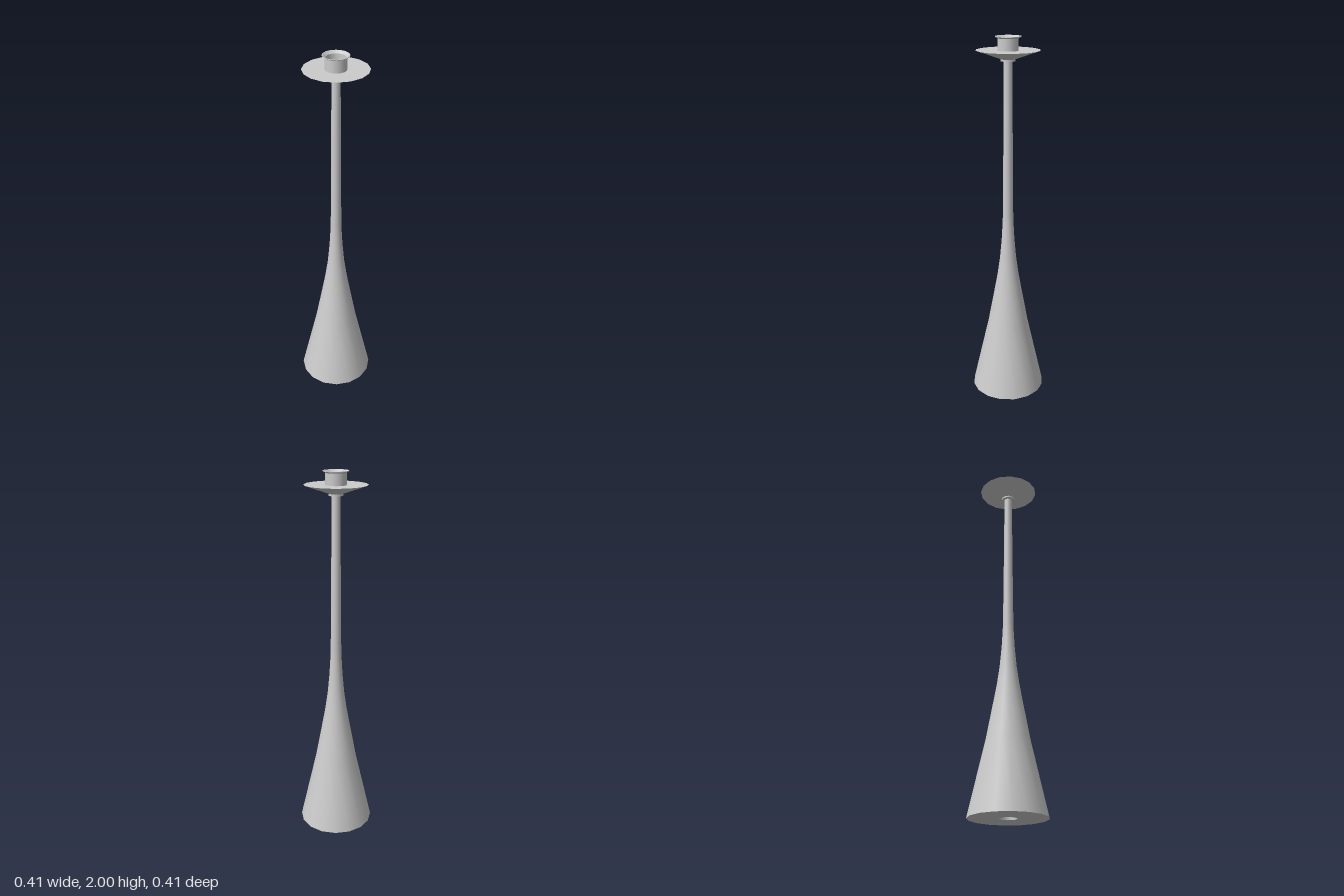
import * as THREE from 'three';

const SIDES = 16;
const material = new THREE.MeshStandardMaterial({ color: 0xcccccc });

// Turned part made of smooth bands; edges between bands stay sharp.
// Each band is a list of [radius, height], running upward on outer faces.
function turned(name, bands) {
  const group = new THREE.Group();
  group.name = name;
  bands.forEach((band, i) => {
    const points = band.map(([r, y]) => new THREE.Vector2(r, y));
    const mesh = new THREE.Mesh(new THREE.LatheGeometry(points, SIDES), material);
    mesh.name = `${name}Band${i + 1}`;
    group.add(mesh);
  });
  return group;
}

export function createModel() {
  const model = new THREE.Group();
  model.name = 'candlestick';

  // Flared foot running up into the slender stem
  model.add(turned('stem', [
    [[0.045, 0], [0.205, 0]],
    [[0.205, 0], [0.115, 0.4], [0.078, 0.6], [0.06, 0.7], [0.046, 0.8],
      [0.036, 0.91], [0.031, 1.0], [0.029, 1.05], [0.026, 1.37], [0.0235, 1.7], [0.022, 1.885]],
  ]));

  // Small collar between stem and drip dish
  model.add(turned('collar', [
    [[0.02, 1.878], [0.038, 1.878]],
    [[0.038, 1.878], [0.038, 1.89]],
  ]));

  // Wide drip dish with a conical underside
  model.add(turned('dripDish', [
    [[0.038, 1.888], [0.165, 1.932]],
    [[0.165, 1.932], [0.054, 1.93]],
  ]));

  // Candle cup with a thin flared lip and stepped inside
  model.add(turned('candleCup', [
    [[0.054, 1.93], [0.054, 1.99]],
    [[0.054, 1.99], [0.067, 1.997]],
    [[0.067, 1.997], [0.067, 2]],
    [[0.067, 2], [0.063, 2]],
    [[0.063, 2], [0.05, 1.988]],
    [[0.05, 1.988], [0.048, 1.925]],
    [[0.048, 1.925], [0.034, 1.91]],
    [[0.034, 1.91], [0.02, 1.9]],
  ]));

  // Narrow bore through the whole length
  model.add(turned('bore', [
    [[0.02, 1.9], [0.02, 0.95], [0.045, 0]],
  ]));

  return model;
}
